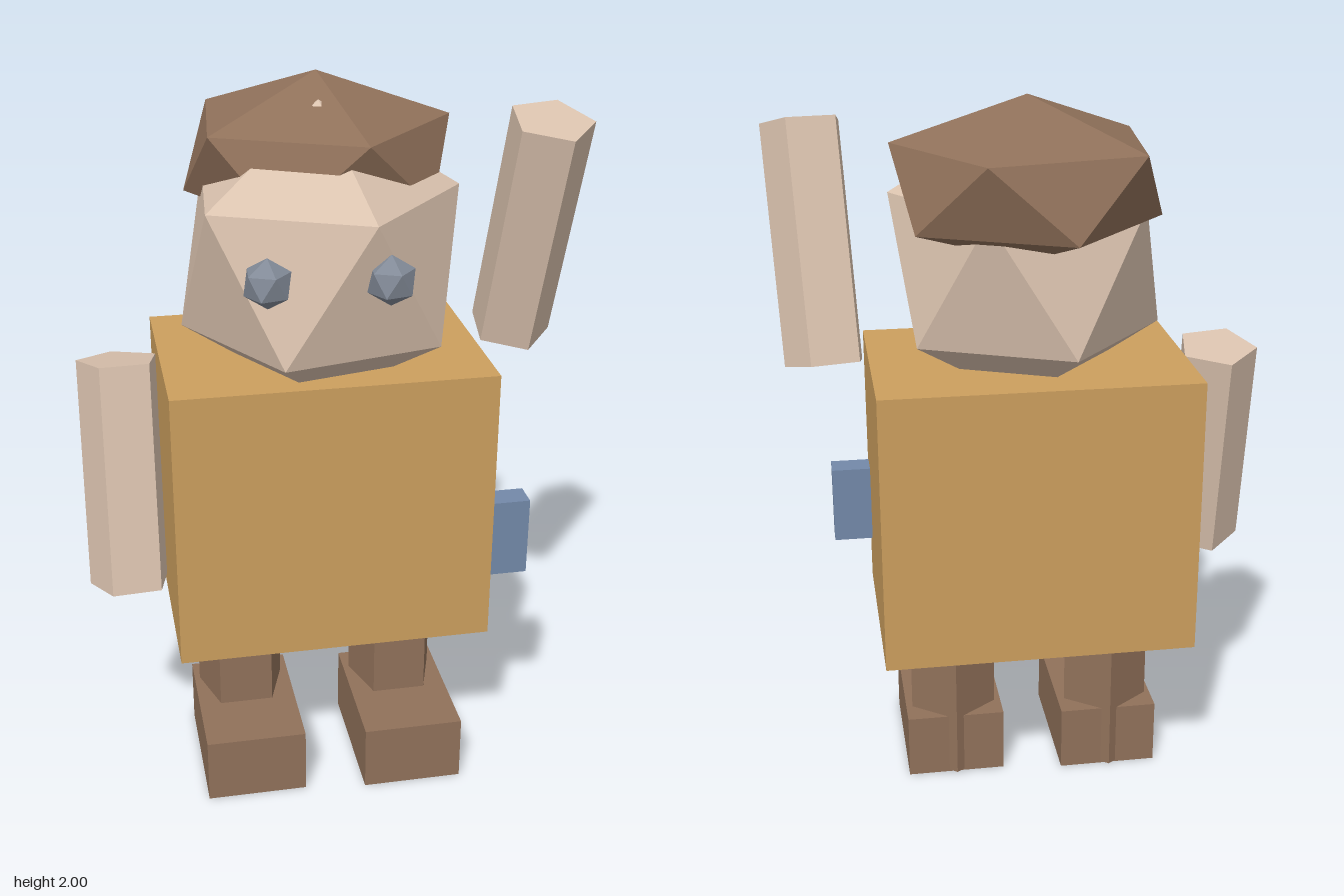
import * as THREE from 'three';

const paint = (name, color) => {
  const m = new THREE.MeshStandardMaterial({ color });
  m.name = name;
  return m;
};

export function createModel() {
  const model = new THREE.Group();
  model.name = 'figure';

  const skin = paint('skin', 0xdac2ae);
  const brown = paint('brown', 0x90715a);
  const ochre = paint('ochre', 0xcc9f5e);
  const blue = paint('blue', 0x7389a9);
  const grey = paint('eyeGrey', 0x828a97);
  const TURN = 0.052; // slight turn shared by torso, legs and feet

  const add = (name, geometry, material, x, y, z, turn = 0) => {
    const mesh = new THREE.Mesh(geometry, material);
    mesh.name = name;
    mesh.position.set(x, y, z);
    mesh.rotation.y = turn;
    model.add(mesh);
    return mesh;
  };

  // Icosahedron standing on a corner, with a ring corner towards +x
  const gem = (radius, squash = 1) =>
    new THREE.IcosahedronGeometry(radius, 0)
      .rotateZ(-Math.atan(2 / (1 + Math.sqrt(5))))
      .scale(1, squash, 1)
      .toNonIndexed === undefined ? null : facet(radius, squash);

  // Faceted five-sided prism with a corner towards -z
  const prism = (radius, height, spin = 0) => {
    const g = new THREE.CylinderGeometry(radius, radius, height, 5)
      .rotateY(Math.PI + spin).toNonIndexed();
    g.computeVertexNormals();
    return g;
  };

  // Torso and side pocket
  add('torso', new THREE.BoxGeometry(0.87, 0.79, 0.6), ochre, -0.02, 0.875, 0.012, TURN);
  add('sidePocket', new THREE.BoxGeometry(0.15, 0.225, 0.075), blue, 0.463, 0.763, 0.222, TURN);

  // Legs run down through the feet and show at the heels
  for (const [side, legX, footX] of [['right', -0.253, -0.246], ['left', 0.204, 0.209]]) {
    add(side + 'Leg', prism(0.13, 0.495), brown, legX, 0.2525, 0.018, TURN);
    add(side + 'Foot', new THREE.BoxGeometry(0.283, 0.19, 0.412), brown, footX, 0.095, 0.11, TURN);
  }

  // Arms, each from a lower to an upper end; the left one is raised
  const arm = (name, low, high, spin) => {
    const a = new THREE.Vector3(...low), b = new THREE.Vector3(...high);
    const axis = b.clone().sub(a);
    const mid = a.clone().add(b).multiplyScalar(0.5);
    const mesh = add(name, prism(0.114, axis.length(), spin), skin, mid.x, mid.y, mid.z);
    mesh.quaternion.setFromUnitVectors(new THREE.Vector3(0, 1, 0), axis.normalize());
  };
  arm('rightArm', [-0.563, 0.645, 0.16], [-0.563, 1.27, 0.042], 0.175);
  arm('leftArm', [0.527, 1.28, -0.03], [0.567, 1.905, 0.14], -0.34);

  // Head, flattened hair cap and eyes
  add('head', gem(0.413), skin, -0.02, 1.54, 0.045, -0.04);
  add('hair', gem(0.397, 0.547), brown, -0.01, 1.783, -0.088, -0.052);
  add('rightEye', gem(0.066), grey, -0.187, 1.58, 0.362, -0.04);
  add('leftEye', gem(0.066), grey, 0.117, 1.58, 0.376, -0.04);

  return model;
}

// Faceted icosahedron standing on a corner
function facet(radius, squash) {
  const g = new THREE.IcosahedronGeometry(radius, 0)
    .rotateZ(-Math.atan(2 / (1 + Math.sqrt(5))))
    .scale(1, squash, 1);
  g.computeVertexNormals();
  return g;
}
